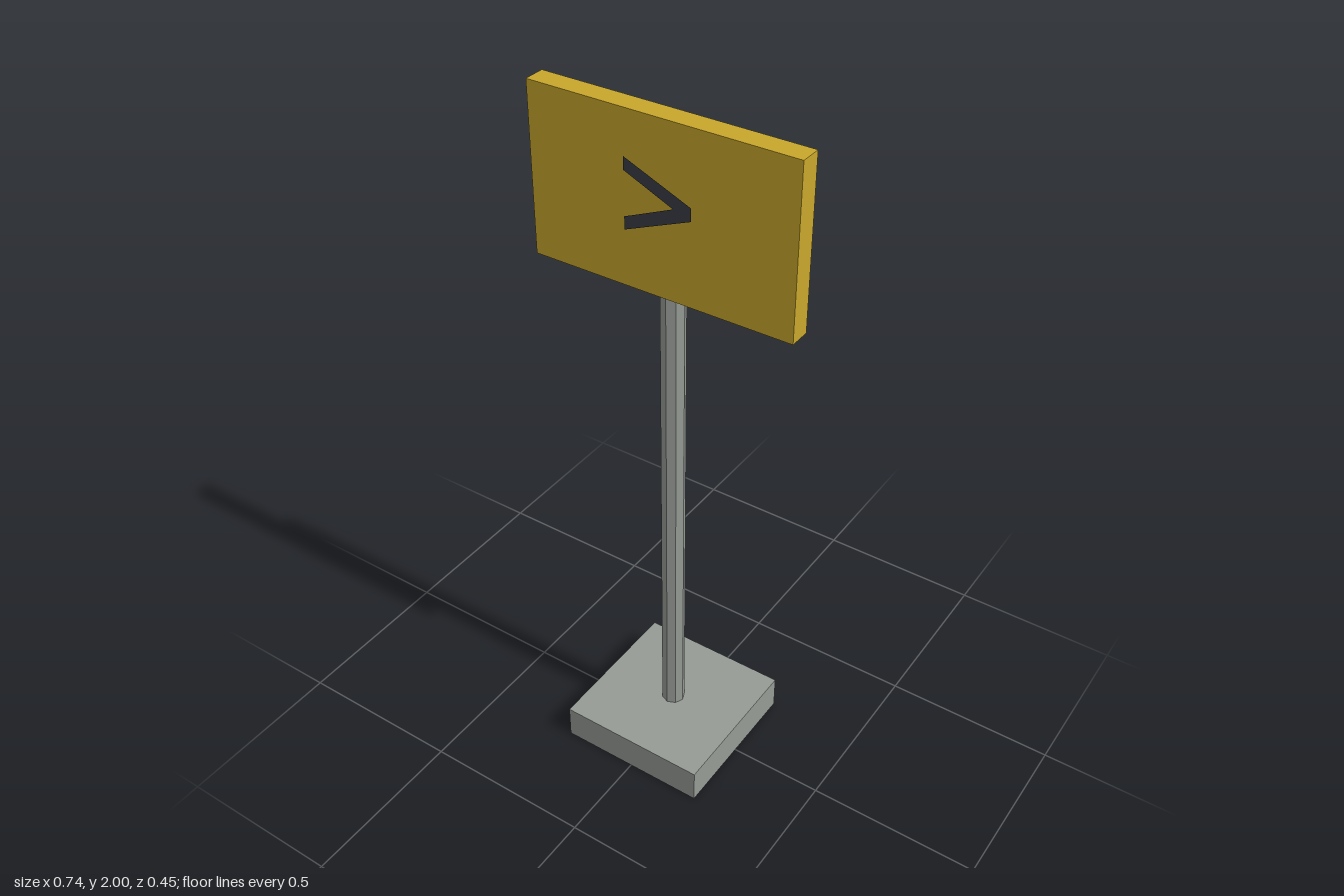
import * as THREE from 'three';

const material = (name, color) => {
  const m = new THREE.MeshStandardMaterial({ color });
  m.name = name;
  return m;
};

export function createModel() {
  const group = new THREE.Group();
  group.name = 'signpost';
  const grey = material('grey metal', 0x969b95);
  const yellow = material('sign yellow', 0xc9a72b);
  const dark = material('dark marking', 0x3a3e46);
  grey.flatShading = true;

  const add = (name, geometry, mat, x, y, z) => {
    const mesh = new THREE.Mesh(geometry, mat);
    mesh.name = name;
    mesh.position.set(x, y, z);
    group.add(mesh);
  };

  // Square foot and eight-sided post
  add('base', new THREE.BoxGeometry(0.447, 0.104, 0.447), grey, 0, 0.052, 0);
  add('post', new THREE.CylinderGeometry(0.0335, 0.0335, 1.852, 8), grey, 0, 1.028, 0);

  // Board fixed to the front half of the post
  add('board', new THREE.BoxGeometry(0.744, 0.463, 0.06), yellow, 0, 1.7685, 0.031);

  // Arrow marking just in front of the board
  const arrow = new THREE.Shape([
    [-0.094, 0.095], [-0.094, 0.06], [0.044, 0], [-0.094, -0.06],
    [-0.094, -0.095], [0.094, -0.017], [0.094, 0.017],
  ].map(([x, y]) => new THREE.Vector2(x, y)));
  add('arrow', new THREE.ShapeGeometry(arrow), dark, 0, 1.788, 0.067);

  return group;
}
